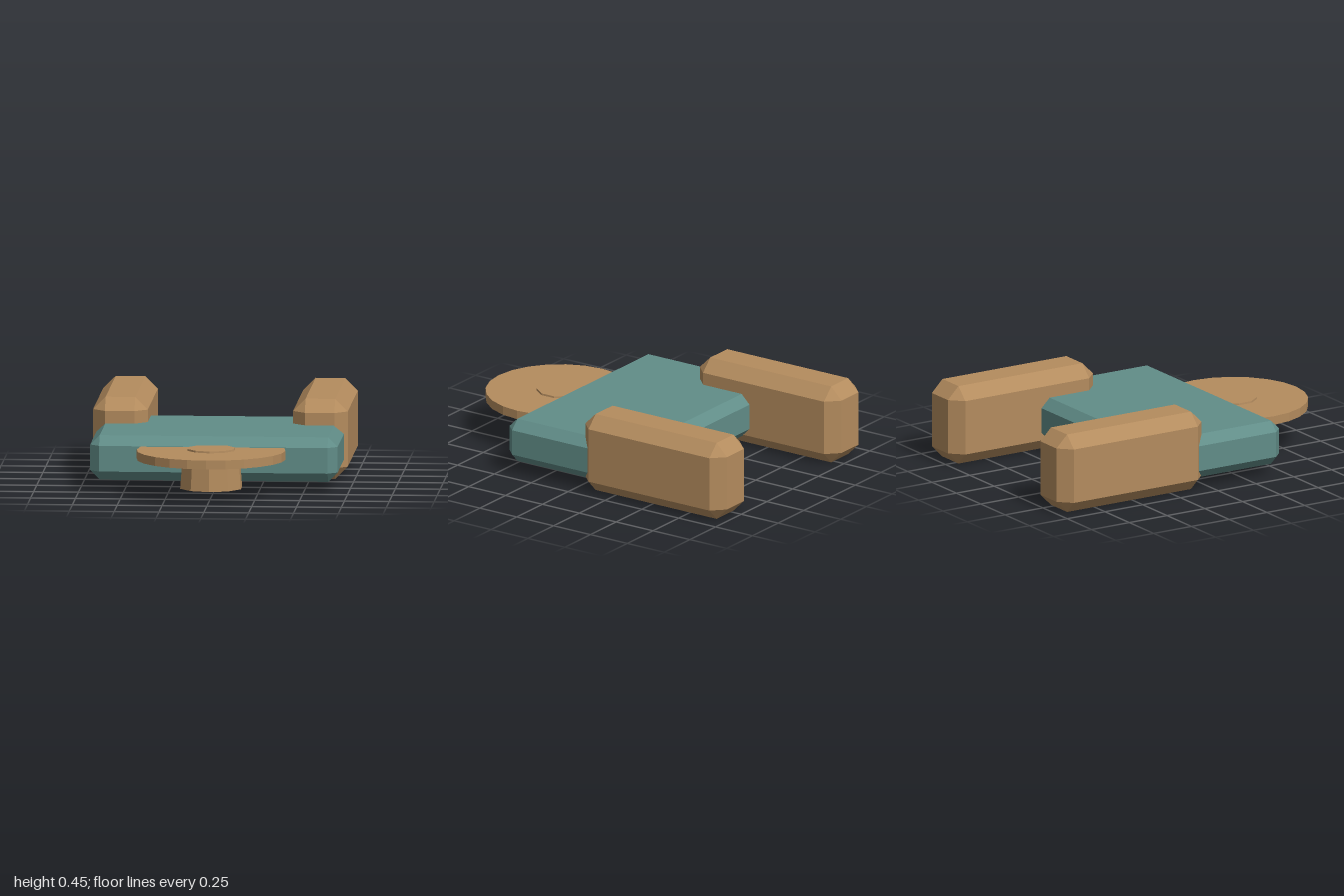
import * as THREE from 'three';
import { ConvexGeometry } from 'three/addons/geometries/ConvexGeometry.js';

// Box between two corners with every edge bevelled by b
function bevelledBox(min, max, b) {
  const centre = min.map((v, i) => (v + max[i]) / 2);
  const half = max.map((v, i) => (v - min[i]) / 2);
  const points = [];
  for (const sx of [-1, 1]) for (const sy of [-1, 1]) for (const sz of [-1, 1]) {
    const sign = [sx, sy, sz];
    for (let face = 0; face < 3; face++) {
      const p = sign.map((s, i) => centre[i] + s * (half[i] - (i === face ? 0 : b)));
      points.push(new THREE.Vector3(...p));
    }
  }
  return new ConvexGeometry(points);
}

// Faceted copy of a smooth geometry
function faceted(geometry) {
  const flat = geometry.toNonIndexed();
  flat.computeVertexNormals();
  return flat;
}

export function createModel() {
  const model = new THREE.Group();
  model.name = 'model';

  const teal = new THREE.MeshStandardMaterial({ color: 0x618d88 });
  teal.name = 'teal';
  const tan = new THREE.MeshStandardMaterial({ color: 0xb48c5e, side: THREE.DoubleSide });
  tan.name = 'tan';

  const add = (name, geometry, material) => {
    const mesh = new THREE.Mesh(geometry, material);
    mesh.name = name;
    model.add(mesh);
    return mesh;
  };

  // Flat central slab
  add('body', bevelledBox([-0.69, 0.06, -0.425], [0.69, 0.31, 0.475], 0.053), teal);

  // Two long blocks reaching backwards
  add('leftRearBlock', bevelledBox([0.405, 0, -1], [0.71, 0.45, -0.04], 0.07), tan);
  add('rightRearBlock', bevelledBox([-0.71, 0, -1], [-0.405, 0.45, -0.04], 0.07), tan);

  // Thin disc tucked into the front of the slab
  const disc = add('frontDisc', faceted(new THREE.CylinderGeometry(0.415, 0.415, 0.05, 24)), tan);
  disc.position.set(-0.005, 0.23, 0.582);

  // Hollow tapered hub, open below, with a small cap above the disc
  const profile = [[0.178, 0.043], [0.165, 0.205], [0.137, 0.25], [0.135, 0.265], [0, 0.265]]
    .map(([r, y]) => new THREE.Vector2(r, y));
  const hub = add('hub', faceted(new THREE.LatheGeometry(profile, 10)), tan);
  hub.position.set(-0.005, 0, 0.575);

  return model;
}
